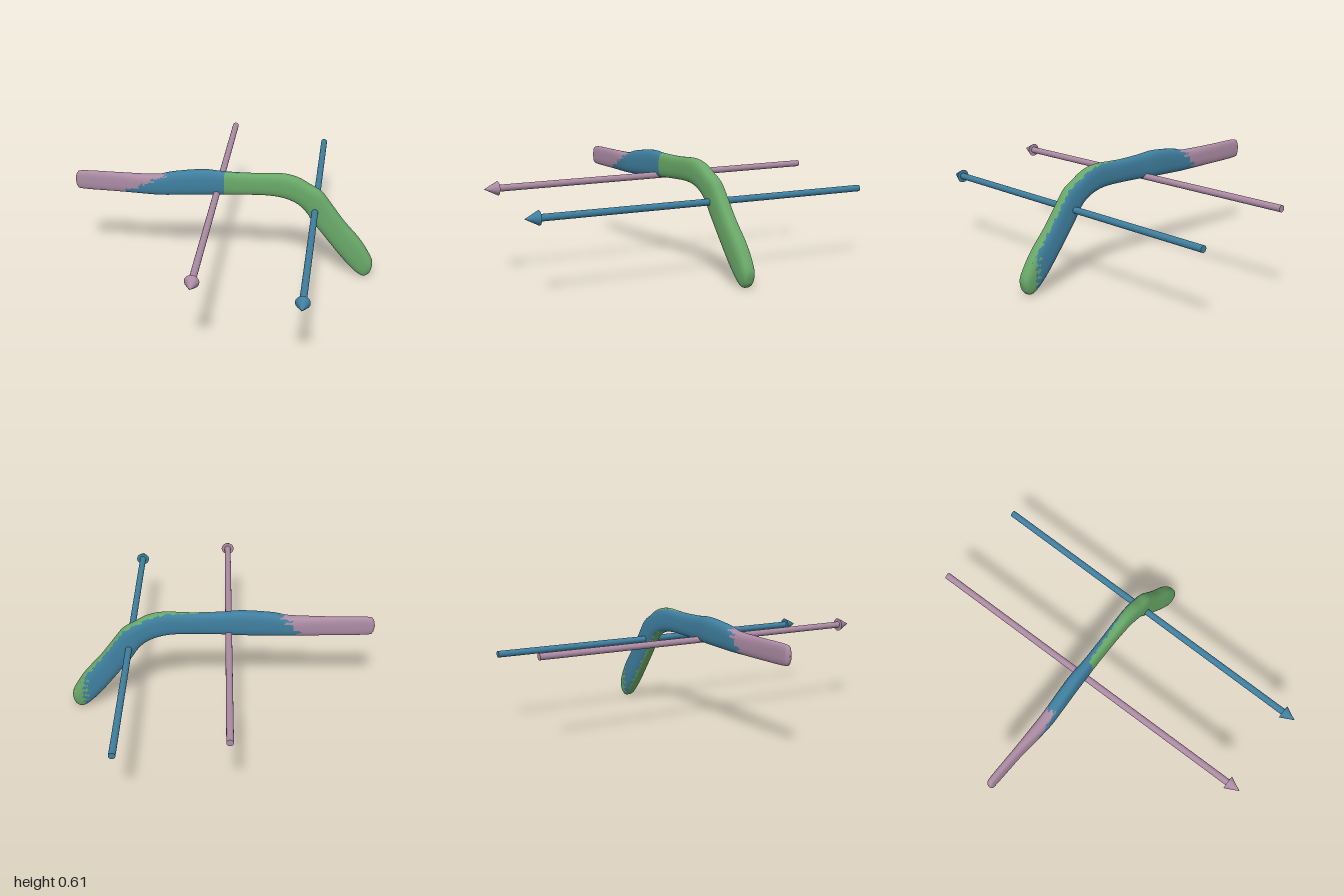
import * as THREE from 'three';

const PINK = 0xac8ba4, BLUE = 0x3f7f9f, GREEN = 0x69a868;
const material = (color) => new THREE.MeshStandardMaterial({ color, side: THREE.DoubleSide });

// Cross-sections along the blade: upper edge x, y, lower edge x, y, back z, front z
const SECTIONS = [
  [-0.836, 0.515, -0.836, 0.515, -0.028, -0.028],
  [-0.825, 0.555, -0.825, 0.475, -0.042, -0.012],
  [-0.79, 0.57, -0.79, 0.462, -0.047, -0.008],
  [-0.6, 0.57, -0.6, 0.458, -0.05, -0.004],
  [-0.45, 0.57, -0.45, 0.456, -0.055, 0.008],
  [-0.36, 0.574, -0.36, 0.455, -0.058, 0.012],
  [-0.28, 0.593, -0.28, 0.457, -0.061, 0.009],
  [-0.12, 0.61, -0.12, 0.464, -0.07, 0],
  [0, 0.603, 0, 0.47, -0.068, -0.006],
  [0.15, 0.6, 0.14, 0.475, -0.073, -0.01],
  [0.31, 0.605, 0.25, 0.475, -0.08, -0.01],
  [0.4, 0.585, 0.33, 0.463, -0.086, -0.01],
  [0.47, 0.545, 0.4, 0.433, -0.09, -0.01],
  [0.53, 0.508, 0.45, 0.385, -0.092, -0.012],
  [0.58, 0.445, 0.49, 0.325, -0.094, -0.014],
  [0.66, 0.335, 0.56, 0.235, -0.096, -0.014],
  [0.75, 0.23, 0.65, 0.122, -0.099, -0.014],
  [0.8, 0.155, 0.71, 0.055, -0.098, -0.016],
  [0.831, 0.09, 0.755, 0.015, -0.092, -0.02],
  [0.825, 0.035, 0.785, 0.002, -0.08, -0.032],
  [0.808, 0.008, 0.808, 0.008, -0.056, -0.056],
];

// Chooses the part a patch belongs to, with slightly ragged borders
function partAt(x, y, facing) {
  const ragged = 0.018 * Math.sin(y * 190) + 0.012 * Math.sin(x * 130 + facing * 9);
  const slope = facing > 0 ? 2.2 : 0.9;
  if (x < -0.35 - (0.57 - y) * slope + ragged) return 'gripEnd';
  if (x < 0.0) return 'middleSleeve';
  const margin = 0.05 + 0.5 * THREE.MathUtils.smoothstep(x, 0.05, 0.4);
  if (x < 0.75 + ragged && facing < -margin + ragged * 5) return 'middleSleeve';
  return 'bentArm';
}

function makeBlade() {
  const upper = new THREE.CatmullRomCurve3(
    SECTIONS.map((s) => new THREE.Vector3(s[0], s[1], s[4])), false, 'catmullrom', 0.5);
  const lower = new THREE.CatmullRomCurve3(
    SECTIONS.map((s) => new THREE.Vector3(s[2], s[3], s[5])), false, 'catmullrom', 0.5);
  const rows = (SECTIONS.length - 1) * 10, cols = 48;
  const round = (v) => Math.sign(v) * Math.pow(Math.abs(v), 0.72);
  const positions = [], all = [];
  const parts = { gripEnd: [], middleSleeve: [], bentArm: [] };

  // Rings of rounded cross-sections
  for (let i = 0; i <= rows; i++) {
    const a = upper.getPoint(i / rows), b = lower.getPoint(i / rows);
    for (let j = 0; j < cols; j++) {
      const angle = (j / cols) * Math.PI * 2;
      const c = round(Math.cos(angle)), s = round(Math.sin(angle));
      positions.push(
        (a.x + b.x) / 2 + ((a.x - b.x) / 2) * c,
        (a.y + b.y) / 2 + ((a.y - b.y) / 2) * c,
        (a.z + b.z) / 2 + ((b.z - a.z) / 2) * s);
    }
  }

  // Skin, sorted into the three coloured parts
  for (let i = 0; i < rows; i++) {
    for (let j = 0; j < cols; j++) {
      const k = (j + 1) % cols;
      const a = i * cols + j, b = i * cols + k, c = a + cols, d = b + cols;
      const facing = Math.sin(((j + 0.5) / cols) * Math.PI * 2);
      const name = partAt(positions[a * 3], positions[a * 3 + 1], facing);
      const quad = [a, b, c, b, d, c];
      parts[name].push(...quad);
      all.push(...quad);
    }
  }
  const whole = new THREE.BufferGeometry();
  whole.setAttribute('position', new THREE.Float32BufferAttribute(positions, 3));
  whole.setIndex(all);
  whole.computeVertexNormals();

  const blade = new THREE.Group();
  blade.name = 'bentBlade';
  const colors = { gripEnd: PINK, middleSleeve: BLUE, bentArm: GREEN };
  for (const [name, index] of Object.entries(parts)) {
    const geometry = new THREE.BufferGeometry();
    geometry.setAttribute('position', whole.attributes.position);
    geometry.setAttribute('normal', whole.attributes.normal);
    geometry.setIndex(index);
    const mesh = new THREE.Mesh(geometry, material(colors[name]));
    mesh.name = name;
    blade.add(mesh);
  }
  return blade;
}

// Long arrow: a round shaft with a cone head
function makeArrow(name, color, from, to) {
  const arrow = new THREE.Group();
  arrow.name = name;
  const length = from.distanceTo(to), headLength = 0.075;
  const shaft = new THREE.Mesh(
    new THREE.CylinderGeometry(0.018, 0.018, length - headLength, 24), material(color));
  shaft.name = 'arrowShaft';
  shaft.position.y = (length - headLength) / 2;
  const head = new THREE.Mesh(new THREE.ConeGeometry(0.037, headLength, 24), material(color));
  head.name = 'arrowHead';
  head.position.y = length - headLength / 2;
  arrow.add(shaft, head);
  arrow.position.copy(from);
  arrow.quaternion.setFromUnitVectors(
    new THREE.Vector3(0, 1, 0), to.clone().sub(from).normalize());
  return arrow;
}

export function createModel() {
  const model = new THREE.Group();
  model.name = 'bladeWithArrows';
  model.add(
    makeBlade(),
    makeArrow('middleArrow', PINK,
      new THREE.Vector3(-0.05, 0.484, -1), new THREE.Vector3(-0.036, 0.469, 1)),
    makeArrow('armArrow', BLUE,
      new THREE.Vector3(0.51, 0.402, -1), new THREE.Vector3(0.49, 0.394, 1)));
  return model;
}
